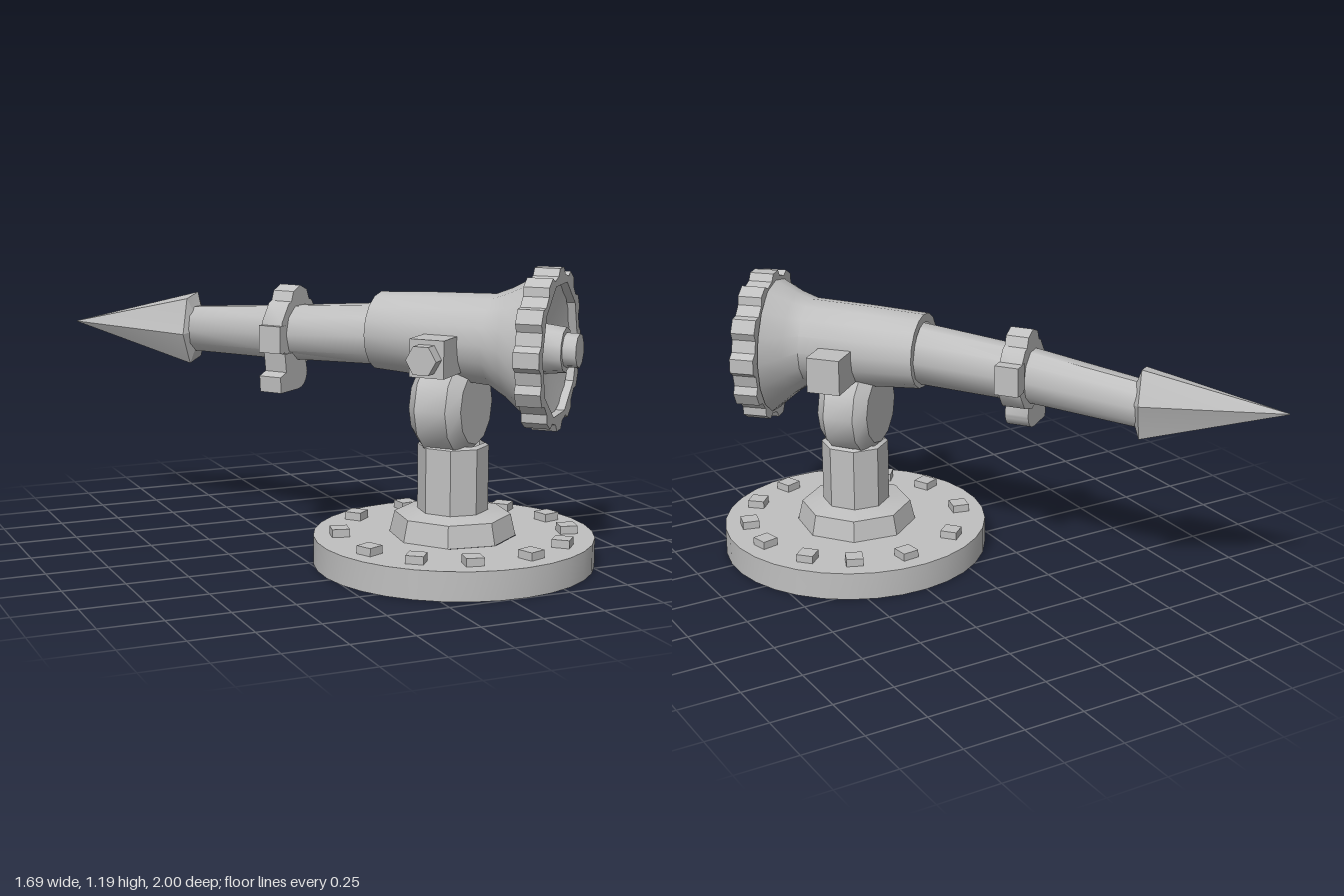
import * as THREE from 'three';
import { toCreasedNormals } from 'three/addons/utils/BufferGeometryUtils.js';

const grey = new THREE.MeshStandardMaterial({ color: 0xc0c0c0, side: THREE.DoubleSide });
grey.name = 'grey metal';

function add(parent, name, geometry, x = 0, y = 0, z = 0, crease = 0.7) {
  const mesh = new THREE.Mesh(toCreasedNormals(geometry, crease), grey);
  mesh.name = name;
  mesh.position.set(x, y, z);
  parent.add(mesh);
  return mesh;
}

function frame(parent, name, x, y, z, yaw) {
  const g = new THREE.Group();
  g.name = name;
  g.position.set(x, y, z);
  g.rotation.y = yaw;
  parent.add(g);
  return g;
}

// Skin over elliptical sections [x, y, z, yaw, half width, half height], tip to rear
function loft(sections, sides, turn = 0) {
  const pos = [], index = [];
  sections.forEach(([x, y, z, yaw, rw, rh], i) => {
    for (let j = 0; j < sides; j++) {
      const a = turn + (j / sides) * Math.PI * 2;
      const u = Math.cos(a) * rw;
      pos.push(x + u * Math.cos(yaw), y + Math.sin(a) * rh, z - u * Math.sin(yaw));
      if (i === sections.length - 1) continue;
      const k = (j + 1) % sides, p = i * sides, q = p + sides;
      index.push(p + j, p + k, q + k, p + j, q + k, q + j);
    }
  });
  const g = new THREE.BufferGeometry();
  g.setAttribute('position', new THREE.Float32BufferAttribute(pos, 3));
  g.setIndex(index);
  return g;
}

const lathe = (pts, n) => new THREE.LatheGeometry(pts.map(p => new THREE.Vector2(...p)), n);
const alongZ = g => g.rotateX(Math.PI / 2);

function polygon(Type, r, n) {
  const path = new Type();
  for (let i = 0; i < n; i++) {
    const a = (i / n) * Math.PI * 2;
    path[i ? 'lineTo' : 'moveTo'](Math.cos(a) * r, Math.sin(a) * r);
  }
  path.closePath();
  return path;
}

function buildBase(model) {
  const base = frame(model, 'base', 0.287, 0, 0.446, 0.26);

  // Floor disc, open underneath, with a hole below the pedestal
  const disc = polygon(THREE.Shape, 0.556, 32);
  disc.holes.push(polygon(THREE.Path, 0.245, 8));
  add(base, 'baseTop', new THREE.ShapeGeometry(disc).rotateX(-Math.PI / 2), 0, 0.115, 0);
  add(base, 'baseWall', new THREE.CylinderGeometry(0.556, 0.556, 0.115, 32, 1, true), 0, 0.0575, 0);

  // Hollow octagonal pedestal and column
  const post = frame(model, 'post', 0.286, 0, 0.437, 0.26);
  add(post, 'pedestal', lathe([[0.25, 0.114], [0.23, 0.2], [0.14, 0.215]], 8), 0, 0, 0, 0.3);
  add(post, 'column', lathe([[0.14, 0.2], [0.14, 0.475], [0.125, 0.485]], 8));

  // Ring of square bolts
  for (const deg of [0, 28, 53, 83, 110, 138, 166, 197, 224, 251, 289, 325]) {
    const a = THREE.MathUtils.degToRad(deg) + 0.26;
    const bolt = add(base, 'baseBolt', new THREE.BoxGeometry(0.07, 0.04, 0.07),
      Math.sin(a) * 0.452, 0.127, -Math.cos(a) * 0.452);
    bolt.rotation.y = -a + 0.1;
  }
}

function buildBarrel(model) {
  // Chamfered pivot drum under the barrel
  const pivot = frame(model, 'pivot', 0.275, 0.635, 0.435, 0.68);
  add(pivot, 'pivotDrum', alongZ(lathe(
    [[0, -0.11], [0.15, -0.11], [0.197, -0.065], [0.197, 0.065], [0.15, 0.11], [0, 0.11]], 12)));

  // Flat harpoon head
  add(model, 'harpoonHead', loft([
    [-0.845, 0.84, -0.995, 0.78, 0.002, 0.002],
    [-0.435, 0.84, -0.607, 0.76, 0.1, 0.162],
    [-0.422, 0.84, -0.59, 0.7, 0.065, 0.095],
  ], 6, 1.16), 0, 0, 0, 0.3);

  // Slim front barrel
  add(model, 'frontBarrel', loft([
    [-0.43, 0.838, -0.605, 0.6, 0.07, 0.098],
    [-0.21, 0.865, -0.2, 0.62, 0.098, 0.112],
    [0.09, 0.895, 0.21, 0.68, 0.13, 0.125],
  ], 10));

  // Thick rear body flaring into the wheel
  add(model, 'rearBody', loft([
    [0.08, 0.907, 0.2, 0.71, 0.12, 0.12],
    [0.08, 0.907, 0.2, 0.71, 0.16, 0.155],
    [0.24, 0.905, 0.385, 0.72, 0.172, 0.168],
    [0.4, 0.9, 0.57, 0.74, 0.18, 0.18],
    [0.45, 0.89, 0.61, 0.8, 0.215, 0.215],
    [0.52, 0.875, 0.668, 0.84, 0.28, 0.28],
  ], 16));

  // Trunnion block through the body, with a thin nut on one end
  const trunnion = frame(model, 'trunnion', 0.278, 0.857, 0.46, 0.72);
  add(trunnion, 'trunnionBlock', new THREE.BoxGeometry(0.6, 0.146, 0.14), 0.02);
  add(trunnion, 'trunnionNut',
    new THREE.CylinderGeometry(0.062, 0.062, 0.06, 6).rotateZ(Math.PI / 2), -0.305, 0, 0, 0.3);

  // Clamp ring with top, side and hanging lugs
  const clamp = frame(model, 'clamp', -0.17, 0.875, -0.15, 0.64);
  add(clamp, 'clampRing', alongZ(new THREE.CylinderGeometry(0.148, 0.148, 0.095, 10)));
  add(clamp, 'topLug', alongZ(new THREE.CylinderGeometry(0.072, 0.072, 0.095, 8)), 0, 0.115, 0);
  add(clamp, 'sideLug', new THREE.BoxGeometry(0.07, 0.12, 0.1), 0.135, 0.015, 0);
  add(clamp, 'outerLug', new THREE.BoxGeometry(0.05, 0.11, 0.1), -0.135, -0.02, 0);
  const hook = new THREE.Shape();
  hook.moveTo(0.02, -0.08);
  hook.lineTo(0.04, -0.17);
  hook.quadraticCurveTo(0.03, -0.235, -0.04, -0.235);
  hook.lineTo(-0.16, -0.235);
  hook.lineTo(-0.165, -0.17);
  hook.lineTo(-0.12, -0.155);
  hook.lineTo(-0.13, -0.08);
  hook.closePath();
  add(clamp, 'hangingHook', new THREE.ExtrudeGeometry(hook, { depth: 0.1, bevelEnabled: false })
    .translate(0, 0, -0.045));
}

function buildWheel(model) {
  const wheel = frame(model, 'wheel', 0.552, 0.875, 0.702, 0.8);

  // Scalloped rim
  const teeth = 12, rim = new THREE.Shape();
  for (let i = 0; i < teeth; i++) {
    [[-0.18, 0.314], [0.18, 0.314], [0.33, 0.288], [0.67, 0.288]].forEach(([t, r], k) => {
      const a = ((i + t) / teeth) * Math.PI * 2;
      rim[i || k ? 'lineTo' : 'moveTo'](Math.cos(a) * r, Math.sin(a) * r);
    });
  }
  rim.closePath();
  rim.holes.push(polygon(THREE.Path, 0.262, 10));
  add(wheel, 'toothedRim', new THREE.ExtrudeGeometry(rim, { depth: 0.1, bevelEnabled: false })
    .translate(0, 0, -0.05), 0, 0, 0, 0.3);

  // Shallow dish and stepped hub
  add(wheel, 'dish', alongZ(lathe([[0, -0.01], [0.09, -0.01], [0.265, 0.02]], 10)));
  add(wheel, 'hubCollar', alongZ(new THREE.CylinderGeometry(0.088, 0.098, 0.085, 10)), 0, 0, 0.03);
  add(wheel, 'hubCap', alongZ(new THREE.CylinderGeometry(0.066, 0.068, 0.1, 10)), 0, 0, 0.075);
}

export function createModel() {
  const model = new THREE.Group();
  model.name = 'harpoonCannon';
  buildBase(model);
  buildBarrel(model);
  buildWheel(model);
  return model;
}
